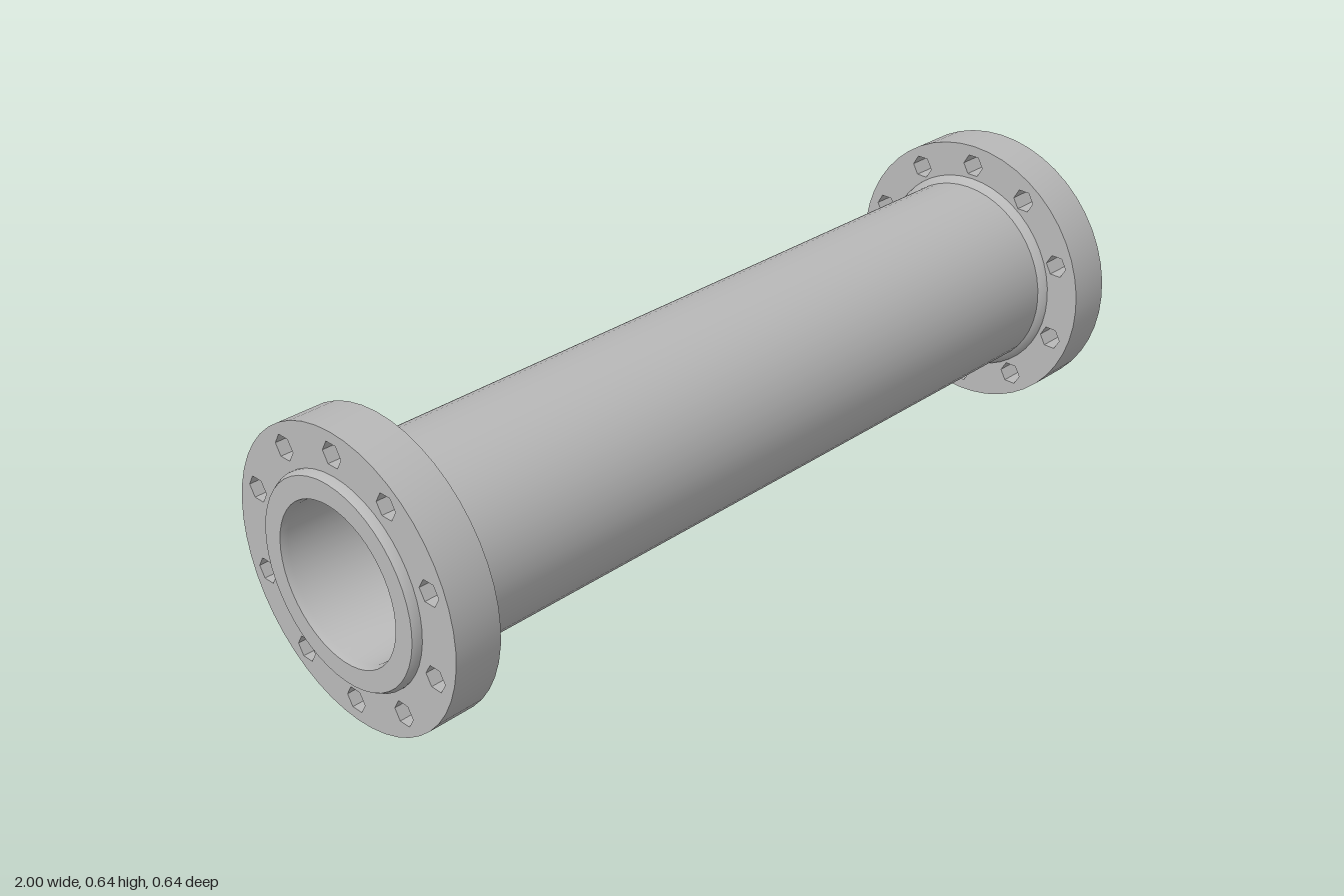
import * as THREE from 'three';
import { toCreasedNormals } from 'three/addons/utils/BufferGeometryUtils.js';

const AXIS_Y = 0.318;

export function createModel() {
  const model = new THREE.Group();
  const steel = new THREE.MeshStandardMaterial({ color: 0xb8b8b8 });
  steel.name = 'greySteel';
  steel.side = THREE.DoubleSide;

  const add = (name, geometry, x = 0) => {
    const mesh = new THREE.Mesh(geometry, steel);
    mesh.name = name;
    mesh.position.set(x, AXIS_Y, 0);
    model.add(mesh);
    return mesh;
  };

  // Pipe wall: half profile [radius, distance from middle], mirrored, then closed along the bore
  const half = [[0.172, 1], [0.218, 1], [0.225, 0.988], [0.225, 0.975], [0.238, 0.88], [0.236, 0.874], [0.222, 0.862]];
  const outline = [
    ...half.map(([r, d]) => [r, -d]),
    ...half.slice().reverse(),
    [0.167, 0.985], [0.167, -0.985], [0.172, -1],
  ].map(([r, d]) => new THREE.Vector2(r, d));
  const wall = toCreasedNormals(new THREE.LatheGeometry(outline, 48), 0.7);
  wall.rotateZ(-Math.PI / 2);
  add('pipe', wall);

  // Partition blocking the bore
  add('borePartition', new THREE.CircleGeometry(0.168, 40).rotateY(Math.PI / 2));

  // Flange outline with the centre bore and a ring of bolt holes
  const disc = new THREE.Shape().absarc(0, 0, 0.318, 0, Math.PI * 2, false);
  disc.holes.push(new THREE.Path().absarc(0, 0, 0.212, 0, Math.PI * 2, true));
  for (const degrees of [0, 33.5, 70, 110, 146.5, 180, 213.5, 250, 290, 326.5]) {
    const a = THREE.MathUtils.degToRad(degrees);
    const cx = 0.27 * Math.sin(a), cy = 0.27 * Math.cos(a);
    const hole = [];
    for (let i = 0; i < 6; i++) {
      const t = -i * Math.PI / 3;
      hole.push(new THREE.Vector2(cx + 0.027 * Math.cos(t), cy + 0.027 * Math.sin(t)));
    }
    disc.holes.push(new THREE.Path(hole));
  }
  const flange = toCreasedNormals(
    new THREE.ExtrudeGeometry(disc, { depth: 0.104, bevelEnabled: false, curveSegments: 24 }), 0.5);
  flange.translate(0, 0, -0.052).rotateY(Math.PI / 2);
  add('leftFlange', flange, 0.93);
  add('rightFlange', flange, -0.93);

  return model;
}
